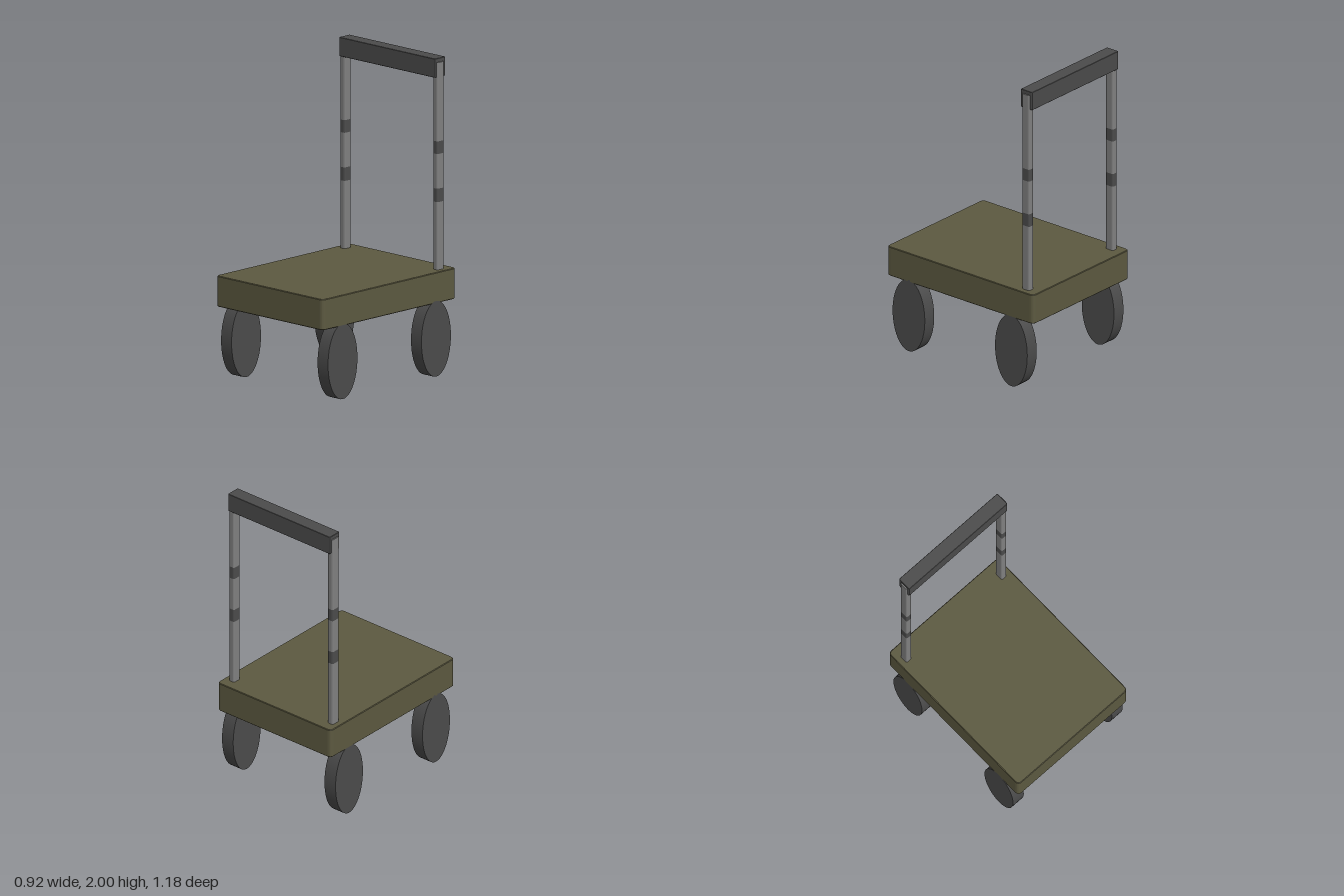
import * as THREE from 'three';

const material = (name, color) => {
  const m = new THREE.MeshStandardMaterial({ color });
  m.name = name;
  return m;
};

// Upright prism with rounded vertical edges, spanning y0 to y1
function roundedPrism(w, d, r, y0, y1, bevel = 0) {
  const x = w / 2 - bevel, z = d / 2 - bevel;
  const s = new THREE.Shape();
  s.moveTo(-x + r, -z);
  s.lineTo(x - r, -z);
  s.quadraticCurveTo(x, -z, x, -z + r);
  s.lineTo(x, z - r);
  s.quadraticCurveTo(x, z, x - r, z);
  s.lineTo(-x + r, z);
  s.quadraticCurveTo(-x, z, -x, z - r);
  s.lineTo(-x, -z + r);
  s.quadraticCurveTo(-x, -z, -x + r, -z);
  const g = new THREE.ExtrudeGeometry(s, {
    depth: y1 - y0 - 2 * bevel, curveSegments: 5,
    bevelEnabled: bevel > 0, bevelSize: bevel, bevelThickness: bevel, bevelSegments: 1,
  });
  return g.rotateX(-Math.PI / 2).translate(0, y0 + bevel, 0);
}

export function createModel() {
  const olive = material('olive deck', 0x5c5940);
  const steel = material('grey metal', 0x808080);
  const dark = material('dark grey', 0x4b4b4b);
  const model = new THREE.Group();
  model.name = 'platformCart';

  const add = (name, geometry, mat, x = 0, y = 0, z = 0, parent = model) => {
    const mesh = new THREE.Mesh(geometry, mat);
    mesh.name = name;
    mesh.position.set(x, y, z);
    parent.add(mesh);
  };

  // Platform
  add('deck', roundedPrism(0.92, 1.18, 0.025, 0.465, 0.66, 0.004), olive);

  // Handle posts, split into plain lengths and flush dark bands
  const levels = [0.64, 1.09, 1.175, 1.395, 1.475, 1.975];
  for (const side of [-1, 1]) {
    const post = new THREE.Group();
    post.name = side > 0 ? 'leftPost' : 'rightPost';
    post.position.set(side * 0.4, 0, -0.495);
    model.add(post);
    for (let i = 0; i < levels.length - 1; i++) {
      const band = i % 2 === 1;
      add(band ? 'postBand' : 'postTube', roundedPrism(0.042, 0.06, 0.012, levels[i], levels[i + 1]),
        band ? dark : steel, 0, 0, 0, post);
    }
  }

  // Push bar across the post tops
  add('handleBar', roundedPrism(0.826, 0.092, 0.005, 1.88, 2, 0.002), dark, 0, 0, -0.497);

  // Oval wheels at the four corners
  const wheel = new THREE.CylinderGeometry(1, 1, 0.09, 48).rotateZ(Math.PI / 2).scale(1, 0.24, 0.13);
  for (const x of [-0.415, 0.415]) {
    for (const z of [-0.413, 0.413]) {
      add((z > 0 ? 'front' : 'back') + (x > 0 ? 'Left' : 'Right') + 'Wheel', wheel, dark, x, 0.24, z);
    }
  }
  return model;
}
